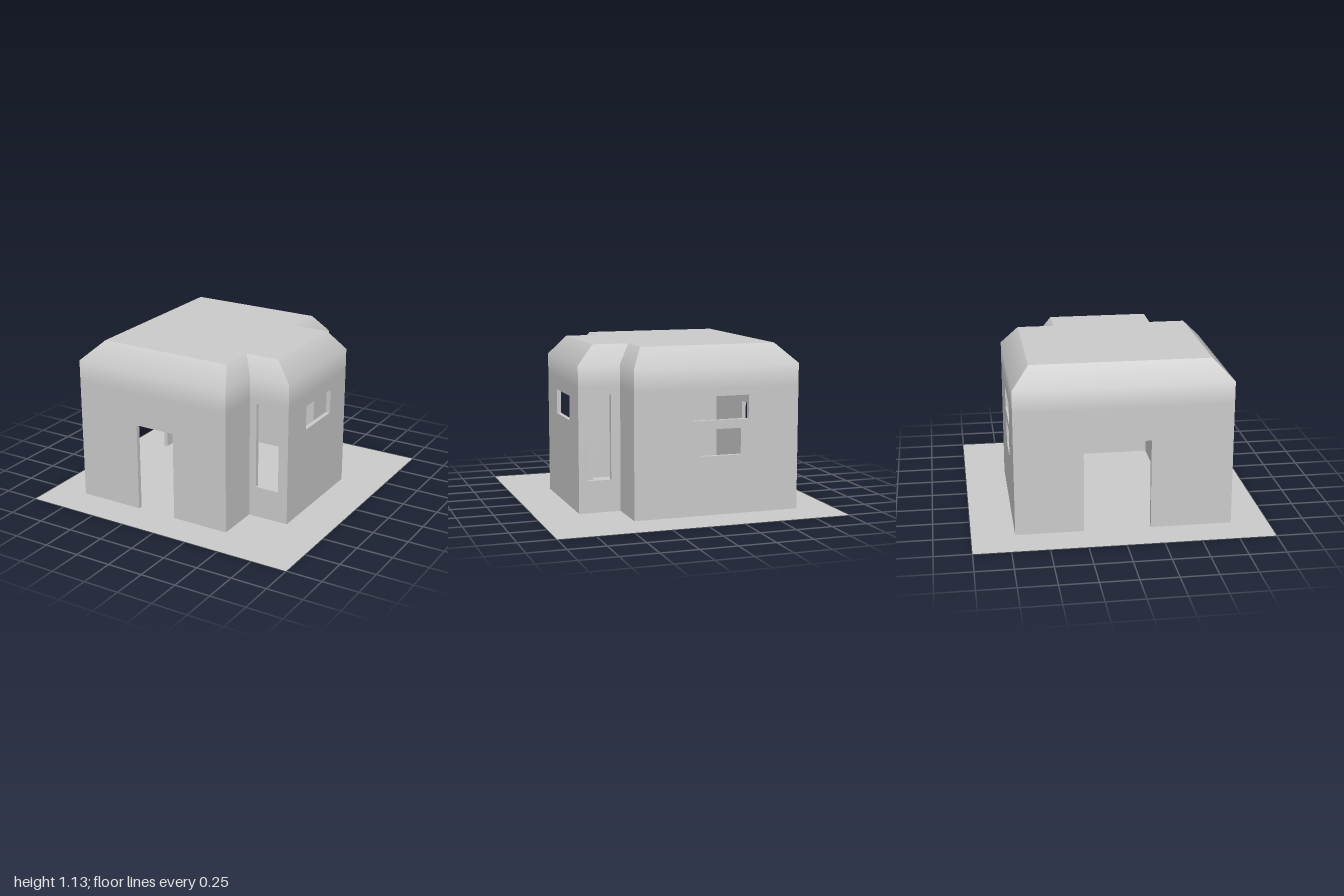
import * as THREE from 'three';

const T = 0.03;      // wall thickness
const BAND = 0.85;   // top of the pierced wall panels
const EAVES = 1.0;
const TOP = 1.13;

// Footprint and roof outlines as [x, z], starting along the front wall
const FOOT = [[-0.75, 0.75], [0.41, 0.75], [0.41, 0.44], [0.70, 0.44],
  [0.70, -0.40], [0.41, -0.40], [0.41, -0.71], [-0.75, -0.71]];
const ROOF = [[-0.62, 0.62], [0.34, 0.62], [0.34, 0.37], [0.58, 0.37],
  [0.58, -0.33], [0.33, -0.33], [0.33, -0.59], [-0.62, -0.59]];

// Walls in outline order; openings are [u0, u1, y0, y1], u measured along the wall
const WALLS = [
  { name: 'frontWall', openings: [[0.46, 0.75, 0, 0.62]] },
  { name: 'frontReturnWall', openings: [] },
  { name: 'bayFrontWall', openings: [[0.05, 0.22, 0.22, 0.82]] },
  { name: 'baySideWall', openings: [[0.25, 0.61, 0.60, 0.77]] },
  { name: 'bayBackWall', openings: [[0.06, 0.225, 0.22, 0.80]] },
  { name: 'backReturnWall', openings: [] },
  { name: 'backWall', openings: [[0.41, 0.80, 0.64, 0.80], [0.465, 0.745, 0.40, 0.58]] },
  { name: 'rightWall', openings: [[0.46, 0.91, 0, 0.62]] },
];

// Unit direction and length of outline side i
function side(loop, i) {
  const n = loop.length;
  const a = loop[(i + n) % n], b = loop[(i + 1 + n) % n];
  const length = Math.hypot(b[0] - a[0], b[1] - a[1]);
  return { a, length, dx: (b[0] - a[0]) / length, dz: (b[1] - a[1]) / length };
}

// +1 for an outer corner, -1 for an inner one
function cornerSign(loop, i) {
  const p = side(loop, i - 1), q = side(loop, i);
  return Math.sign(p.dz * q.dx - p.dx * q.dz);
}

// Move a right-angled outline inward by t
function inset(loop, t) {
  return loop.map(([x, z], i) => {
    const p = side(loop, i - 1), q = side(loop, i);
    return [x + t * (p.dz + q.dz), z - t * (p.dx + q.dx)];
  });
}

// Wall panel with doors and windows, mitred at both ends
function makeWall(i, material) {
  const { a, length, dx, dz } = side(FOOT, i);
  const { name, openings } = WALLS[i];
  const shape = new THREE.Shape();
  shape.moveTo(0, 0);
  for (const [u0, u1, y0, y1] of openings) {
    if (y0 === 0) {
      shape.lineTo(u0, 0).lineTo(u0, y1).lineTo(u1, y1).lineTo(u1, 0);
    } else {
      const hole = new THREE.Path();
      hole.moveTo(u0, y0).lineTo(u0, y1).lineTo(u1, y1).lineTo(u1, y0).closePath();
      shape.holes.push(hole);
    }
  }
  shape.lineTo(length, 0).lineTo(length, BAND).lineTo(0, BAND).closePath();
  const geo = new THREE.ExtrudeGeometry(shape, { depth: T, bevelEnabled: false });
  geo.translate(0, 0, -T);
  const pos = geo.attributes.position;
  const startSign = cornerSign(FOOT, i), endSign = cornerSign(FOOT, i + 1);
  for (let k = 0; k < pos.count; k++) {
    if (pos.getZ(k) > -T / 2) continue;
    const u = pos.getX(k);
    if (u < 1e-4) pos.setX(k, T * startSign);
    else if (u > length - 1e-4) pos.setX(k, length - T * endSign);
  }
  geo.computeVertexNormals();
  const wall = new THREE.Mesh(geo, material);
  wall.name = name;
  wall.position.set(a[0], 0, a[1]);
  wall.rotation.y = Math.atan2(-dz, dx);
  return wall;
}

// Upper wall band and sloped eaves, shaded softly upward and sharp at the corners
function makeEaves(rows, inward) {
  const position = [], normal = [], index = [];
  const sign = inward ? -1 : 1;
  for (let i = 0; i < FOOT.length; i++) {
    const { dx, dz } = side(FOOT, i);
    const base = position.length / 3;
    for (const { loop, y, tilt } of rows) {
      for (const [x, z] of [loop[i], loop[(i + 1) % loop.length]]) {
        position.push(x, y, z);
        const c = Math.cos(tilt) * sign;
        normal.push(-dz * c, Math.sin(tilt) * sign, dx * c);
      }
    }
    for (let r = 0; r < rows.length - 1; r++) {
      const q = base + r * 2;
      if (inward) index.push(q, q + 3, q + 1, q, q + 2, q + 3);
      else index.push(q, q + 1, q + 3, q, q + 3, q + 2);
    }
  }
  const geo = new THREE.BufferGeometry();
  geo.setAttribute('position', new THREE.Float32BufferAttribute(position, 3));
  geo.setAttribute('normal', new THREE.Float32BufferAttribute(normal, 3));
  geo.setIndex(index);
  return geo;
}

// Flat slab face from an outline
function makeFlat(loop, y) {
  const shape = new THREE.Shape(loop.map(([x, z]) => new THREE.Vector2(x, -z)));
  return new THREE.ShapeGeometry(shape).rotateX(-Math.PI / 2).translate(0, y, 0);
}

export function createModel() {
  const model = new THREE.Group();
  model.name = 'house';
  const material = new THREE.MeshStandardMaterial({ color: 0xcccccc });
  const thin = new THREE.MeshStandardMaterial({ color: 0xcccccc, side: THREE.DoubleSide });
  const add = (name, geo, mat) => {
    const mesh = new THREE.Mesh(geo, mat);
    mesh.name = name;
    model.add(mesh);
  };

  // Ground sheet
  add('ground', new THREE.PlaneGeometry(2, 2).rotateX(-Math.PI / 2), thin);

  // Walls
  const walls = new THREE.Group();
  walls.name = 'walls';
  WALLS.forEach((_, i) => walls.add(makeWall(i, material)));
  model.add(walls);

  // Eaves outside and lining inside
  const innerFoot = inset(FOOT, T), innerRoof = inset(ROOF, T / 2);
  const rows = (foot, roof, drop) => [
    { loop: foot, y: BAND, tilt: 0 },
    { loop: foot, y: EAVES - drop / 2, tilt: Math.PI / 8 },
    { loop: roof, y: TOP - drop, tilt: Math.PI / 4 },
  ];
  add('eaves', makeEaves(rows(FOOT, ROOF, 0), false), material);
  add('eavesLining', makeEaves(rows(innerFoot, innerRoof, T), true), material);

  // Flat roof and ceiling
  add('roof', makeFlat(ROOF, TOP), thin);
  add('ceiling', makeFlat(innerRoof, TOP - T), thin);

  return model;
}
